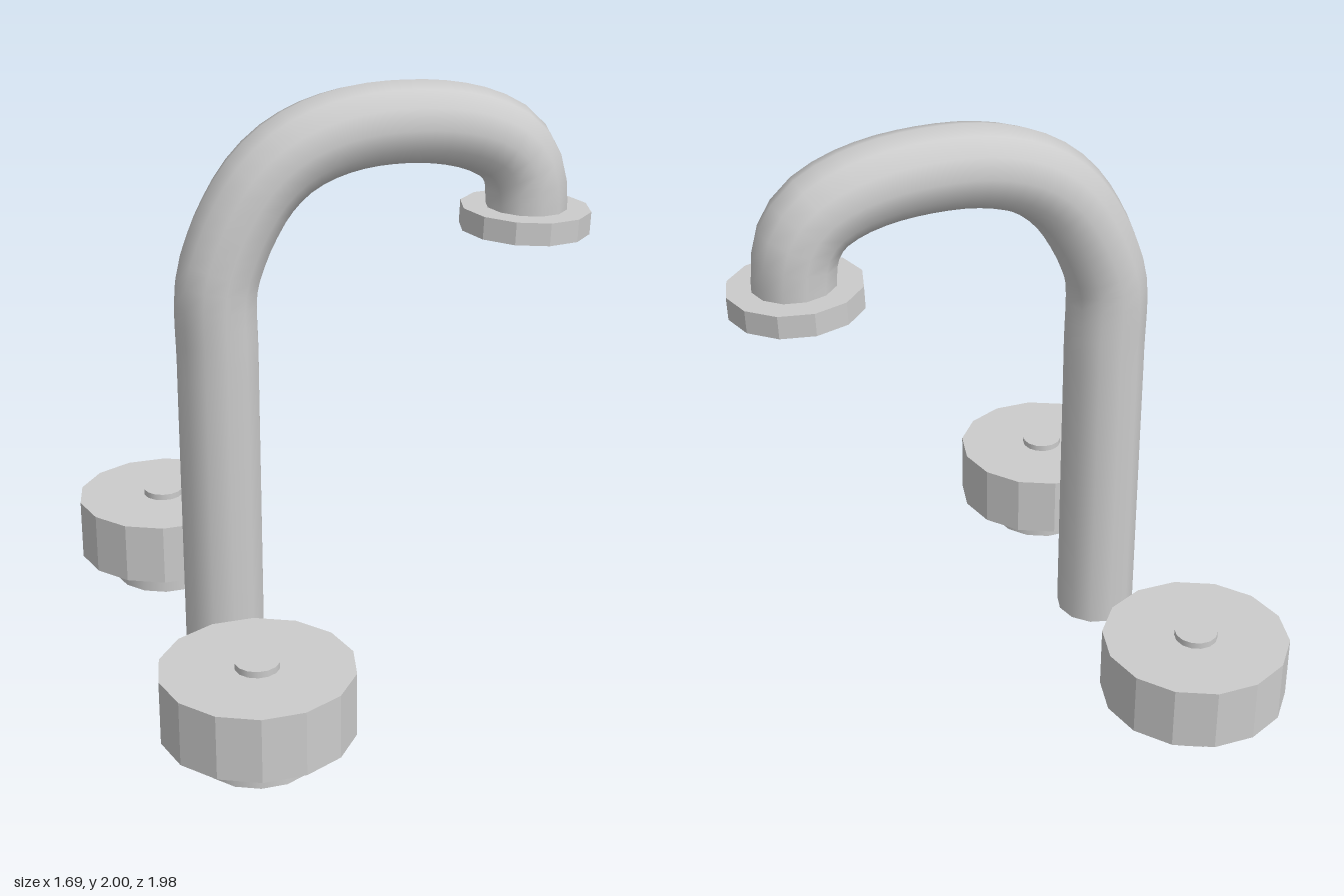
import * as THREE from 'three';

const smooth = new THREE.MeshStandardMaterial({ color: 0xcccccc });
const faceted = new THREE.MeshStandardMaterial({ color: 0xcccccc, flatShading: true });

// Upright cylinder with a corner pointing along +x
function disc(name, radius, bottom, top, sides, material) {
  const geometry = new THREE.CylinderGeometry(radius, radius, top - bottom, sides);
  geometry.rotateY(Math.PI / 2);
  const mesh = new THREE.Mesh(geometry, material);
  mesh.name = name;
  mesh.position.y = (bottom + top) / 2;
  return mesh;
}

// Tap handle: narrow base, wide faceted wheel, small button on top
function createHandle(name, z) {
  const handle = new THREE.Group();
  handle.name = name;
  handle.add(
    disc('handleBase', 0.19, 0, 0.105, 14, smooth),
    disc('handleWheel', 0.317, 0.105, 0.325, 14, faceted),
    disc('handleButton', 0.073, 0.325, 0.347, 14, smooth)
  );
  handle.position.set(-0.533, 0, z);
  return handle;
}

// Spout: straight riser that bends over and down to the nozzle
function createSpout() {
  const spout = new THREE.Group();
  spout.name = 'spout';
  const radius = 0.14;
  const path = new THREE.CatmullRomCurve3([
    [-0.47, 0.03], [-0.47, 0.6], [-0.47, 1.1], [-0.468, 1.365], [-0.43, 1.49],
    [-0.385, 1.585], [-0.32, 1.685], [-0.235, 1.765], [-0.13, 1.82], [0.01, 1.855],
    [0.175, 1.862], [0.34, 1.845], [0.47, 1.805], [0.555, 1.75], [0.605, 1.67],
    [0.62, 1.58], [0.62, 1.5]
  ].map(([x, y]) => new THREE.Vector3(x, y, 0)));
  const pipe = new THREE.Mesh(new THREE.TubeGeometry(path, 48, radius, 12), smooth);
  pipe.name = 'spoutPipe';

  // Closed foot of the riser
  const foot = new THREE.Mesh(new THREE.CircleGeometry(radius, 12), smooth);
  foot.name = 'spoutFoot';
  foot.rotation.x = Math.PI / 2;
  foot.position.set(-0.47, 0.03, 0);

  // Slightly tilted outlet disc
  const nozzle = disc('nozzle', 0.225, 1.46, 1.538, 12, faceted);
  nozzle.position.x = 0.617;
  nozzle.rotation.z = -0.045;

  spout.add(pipe, foot, nozzle);
  return spout;
}

export function createModel() {
  const model = new THREE.Group();
  model.name = 'tap';
  model.add(createSpout(), createHandle('frontHandle', 0.683), createHandle('backHandle', -0.683));
  return model;
}
